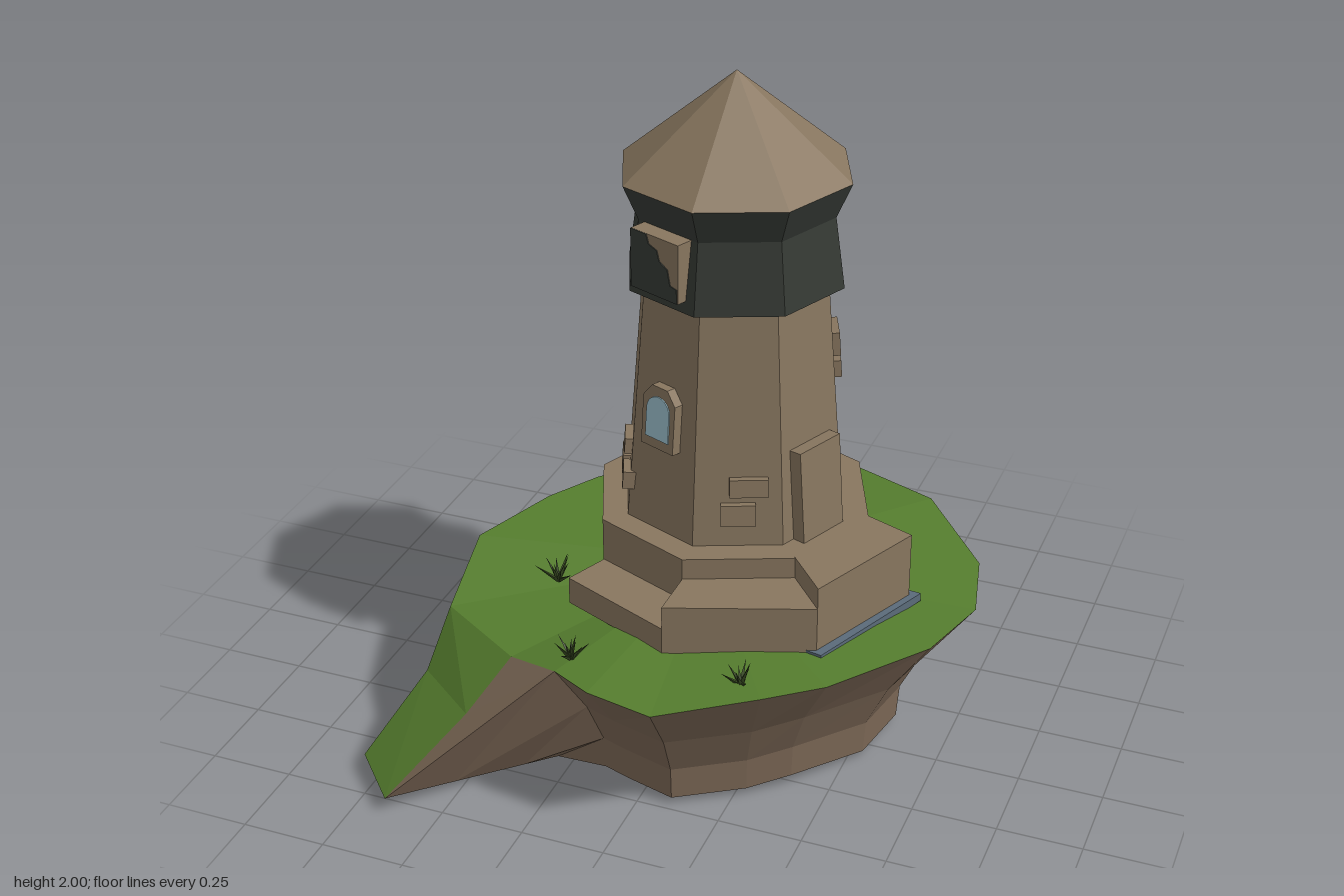
import * as THREE from 'three';

const mat = (name, color, extra = {}) => {
  const m = new THREE.MeshStandardMaterial({ color, flatShading: true, ...extra });
  m.name = name;
  return m;
};

export function createModel() {
  const stone = mat('tan stone', 0x88765f);
  const rock = mat('brown rock', 0x7c6856, { side: THREE.DoubleSide });
  const grass = mat('grass', 0x557d2e, { side: THREE.DoubleSide });
  const dark = mat('dark gallery', 0x363a35);
  const glass = mat('window glass', 0x9cc0cc);
  const blade = mat('dark leaves', 0x34451f);
  const slate = mat('slate', 0x5b6b7a);

  const model = new THREE.Group();
  model.name = 'islandTower';
  const add = (parent, name, geo, material, x = 0, y = 0, z = 0) => {
    const m = new THREE.Mesh(geo, material);
    m.name = name;
    m.position.set(x, y, z);
    parent.add(m);
    return m;
  };
  const facets = (tris) => {
    const g = new THREE.BufferGeometry();
    g.setAttribute('position', new THREE.Float32BufferAttribute(tris.flat(2), 3));
    g.computeVertexNormals();
    return g;
  };
  const extrude = (shape, depth) => new THREE.ExtrudeGeometry(shape, { depth, bevelEnabled: false, curveSegments: 8 });
  const polygon = (pts) => new THREE.Shape(pts.map(([x, y]) => new THREE.Vector2(x, y)));
  const lerp = (a, b, t) => a.map((v, i) => v + (b[i] - v) * t);

  // Island outline, clockwise from the back, with a grassy ramp at the front right-hand side
  const S = [-0.21, 0.455, 0.58];
  const R1 = [-0.39, 0.4, 0.485], R2 = [-0.48, 0.26, 0.61], R3 = [-0.65, 0.055, 0.81];
  const L3 = [-0.8, 0.06, 0.65], L2 = [-0.69, 0.25, 0.44], L1 = [-0.67, 0.4, 0.31];
  const east = [
    [-0.02, 0.475, -0.81], [0.2, 0.465, -0.82], [0.52, 0.488, -0.66], [0.75, 0.46, -0.39],
    [0.8, 0.44, -0.17], [0.74, 0.46, 0.1], [0.53, 0.47, 0.4], [0.38, 0.47, 0.52],
    [0.12, 0.455, 0.685], [-0.08, 0.465, 0.655], S,
  ];
  const west = [[-0.7, 0.485, 0.04], [-0.6, 0.485, -0.25], [-0.51, 0.48, -0.42], [-0.27, 0.485, -0.7]];

  // Rock sides: each outline point drops through three lower rings
  const rings = [[0.82, 0.28], [0.725, 0.135], [0.715, 0.03]];
  const bodyColumn = (p, i) => [p, ...rings.map(([s, y]) =>
    [0.04 + (p[0] - 0.04) * s, y + 0.012 * Math.sin(i * 2.3), -0.05 + (p[2] + 0.05) * s])];
  const rampColumn = (p, foot) => [0, 0.4, 0.8, 1].map((t) => lerp(p, foot, t));
  const columns = [
    ...east.map(bodyColumn),
    rampColumn(R3, [-0.3, 0.003, 0.385]),
    rampColumn(L3, [-0.42, 0.02, 0.3]),
    rampColumn(L2, [-0.46, 0.02, 0.22]),
    rampColumn(L1, [-0.48, 0.025, 0.15]),
    ...west.map(bodyColumn),
  ];
  const sides = [[S, R1, R2], [S, R2, R3]];
  columns.forEach((a, i) => {
    const b = columns[(i + 1) % columns.length];
    for (let k = 0; k < 3; k++) sides.push([a[k], b[k], b[k + 1]], [a[k], b[k + 1], a[k + 1]]);
  });
  add(model, 'islandRock', facets(sides), rock);

  // Grass cap and the ramp that runs down from it
  const cap = [...east, R1, L1, ...west];
  const centre = [0.0, 0.475, -0.1];
  const turf = cap.map((p, i) => [centre, cap[(i + 1) % cap.length], p]);
  [[R1, L1, R2, L2], [R2, L2, R3, L3]].forEach(([r, l, r2, l2]) => turf.push([l, r, r2], [l, r2, l2]));
  add(model, 'grassTop', facets(turf), grass);

  // Tower, eight-sided
  const tower = new THREE.Group();
  tower.name = 'tower';
  tower.position.set(0.04, 0, -0.18);
  model.add(tower);
  const octagon = (name, rTop, rBottom, y0, y1, material) =>
    add(tower, name, new THREE.CylinderGeometry(rTop, rBottom, y1 - y0, 8), material, 0, (y0 + y1) / 2, 0);
  octagon('plinth', 0.42, 0.42, 0.46, 0.68, stone);
  octagon('shaft', 0.28, 0.34, 0.68, 1.41, stone);
  octagon('galleryLower', 0.295, 0.325, 1.4, 1.61, dark);
  octagon('galleryUpper', 0.34, 0.295, 1.61, 1.715, dark);
  octagon('roof', 0, 0.34, 1.715, 2, stone);

  // Landing and two steps wrapping round the plinth
  const prism = (name, pts, y0, y1, material) => add(tower, name,
    extrude(polygon(pts.map(([x, z]) => [x, -z])), y1 - y0).rotateX(-Math.PI / 2), material, 0, y0, 0);
  const inner = [[0.415, 0], [0.293, 0.293], [0, 0.415], [-0.293, 0.293]];
  const outer = [[0.57, 0.06], [0.41, 0.43], [0, 0.58], [-0.35, 0.43]];
  ['landing', 'upperStep', 'lowerStep'].forEach((name, i) =>
    prism(name, [inner[i], outer[i], outer[i + 1], inner[i + 1]], 0.46, [0.682, 0.615, 0.545][i], stone));
  prism('landingSlab', [[0.25, 0], [0.6, 0.04], [0.43, 0.45], [0.18, 0.4]], 0.452, 0.478, slate);

  // Mount on one of the eight walls, leaning with the shaft; face 0 is just left of front
  const mount = (name, face, u, y, lean = true) => {
    const turn = new THREE.Group();
    turn.name = name;
    turn.rotation.y = (face + 0.5) * Math.PI / 4;
    const seat = new THREE.Group();
    seat.name = name + 'Seat';
    seat.position.set(u, y, (0.34 - 0.0822 * (y - 0.68)) * Math.cos(Math.PI / 8));
    if (lean) seat.rotation.x = -0.077;
    turn.add(seat);
    tower.add(turn);
    return seat;
  };

  // Door
  add(mount('door', 1, 0, 0.82), 'doorPanel', new THREE.BoxGeometry(0.17, 0.285, 0.08), stone);

  // Arched windows
  const frame = polygon([[-0.062, -0.095], [0.062, -0.095], [0.062, 0.055], [0.03, 0.095], [-0.03, 0.095], [-0.062, 0.055]]);
  const pane = new THREE.Shape();
  pane.moveTo(-0.044, -0.065);
  pane.lineTo(0.044, -0.065);
  pane.lineTo(0.044, 0.022);
  pane.absarc(0, 0.022, 0.044, 0, Math.PI, false);
  [3, 5, 7].forEach((face) => {
    const seat = mount('window', face, 0, 1.045);
    add(seat, 'windowFrame', extrude(frame, 0.045), stone, 0, 0, -0.015);
    add(seat, 'windowPane', extrude(pane, 0.006), glass, 0, 0, 0.028);
  });

  // Raised stones: face, sideways offset, height, width, tallness
  [
    [0, 0.03, 0.868, 0.11, 0.055], [0, 0, 0.783, 0.1, 0.065],
    [2, -0.04, 1.207, 0.105, 0.072], [2, -0.045, 1.125, 0.08, 0.052],
    [4, 0.03, 1.03, 0.1, 0.05], [4, -0.01, 0.935, 0.09, 0.06], [4, 0.03, 0.85, 0.08, 0.05],
    [5, -0.04, 1.24, 0.09, 0.045],
    [6, 0.05, 0.885, 0.09, 0.05], [6, -0.03, 0.78, 0.09, 0.06], [6, 0.1, 0.797, 0.08, 0.055],
  ].forEach(([face, u, y, w, h]) =>
    add(mount('wallStone', face, u, y), 'stoneBlock', new THREE.BoxGeometry(w, h, 0.045), stone));

  // Hatch on the gallery with a broken dark panel
  const hatch = mount('galleryHatch', 7, 0, 1.523, false);
  const hatchZ = 0.325 - hatch.position.z;
  add(hatch, 'hatchBoard', new THREE.BoxGeometry(0.178, 0.175, 0.07), stone, 0, 0, hatchZ - 0.035);
  const panel = polygon([[-0.089, -0.087], [0.085, -0.087], [0.085, -0.045], [0.06, -0.04], [0.05, 0.005],
    [0.02, 0.02], [0.01, 0.05], [-0.02, 0.06], [-0.03, 0.087], [-0.089, 0.087]]);
  add(hatch, 'hatchPanel', extrude(panel, 0.003), dark, 0, 0, hatchZ);

  // Grass tufts made of splayed blades
  [[-0.39, 0.15, 1.2], [-0.19, 0.51, 1], [0.3, 0.46, 1]].forEach(([x, z, size], t) => {
    const tuft = new THREE.Group();
    tuft.name = 'grassTuft';
    tuft.position.set(x, 0.46, z);
    model.add(tuft);
    for (let i = 0; i < 10; i++) {
      const length = (0.065 + 0.015 * Math.sin(i * 2.7 + t)) * size;
      const geo = new THREE.ConeGeometry(0.008, length, 3).translate(0, length / 2, 0);
      const leaf = add(tuft, 'leafBlade', geo, blade);
      leaf.rotation.set(0.35 + 0.3 * (i % 3), i * 0.63 + t, 0, 'YXZ');
    }
  });

  return model;
}
